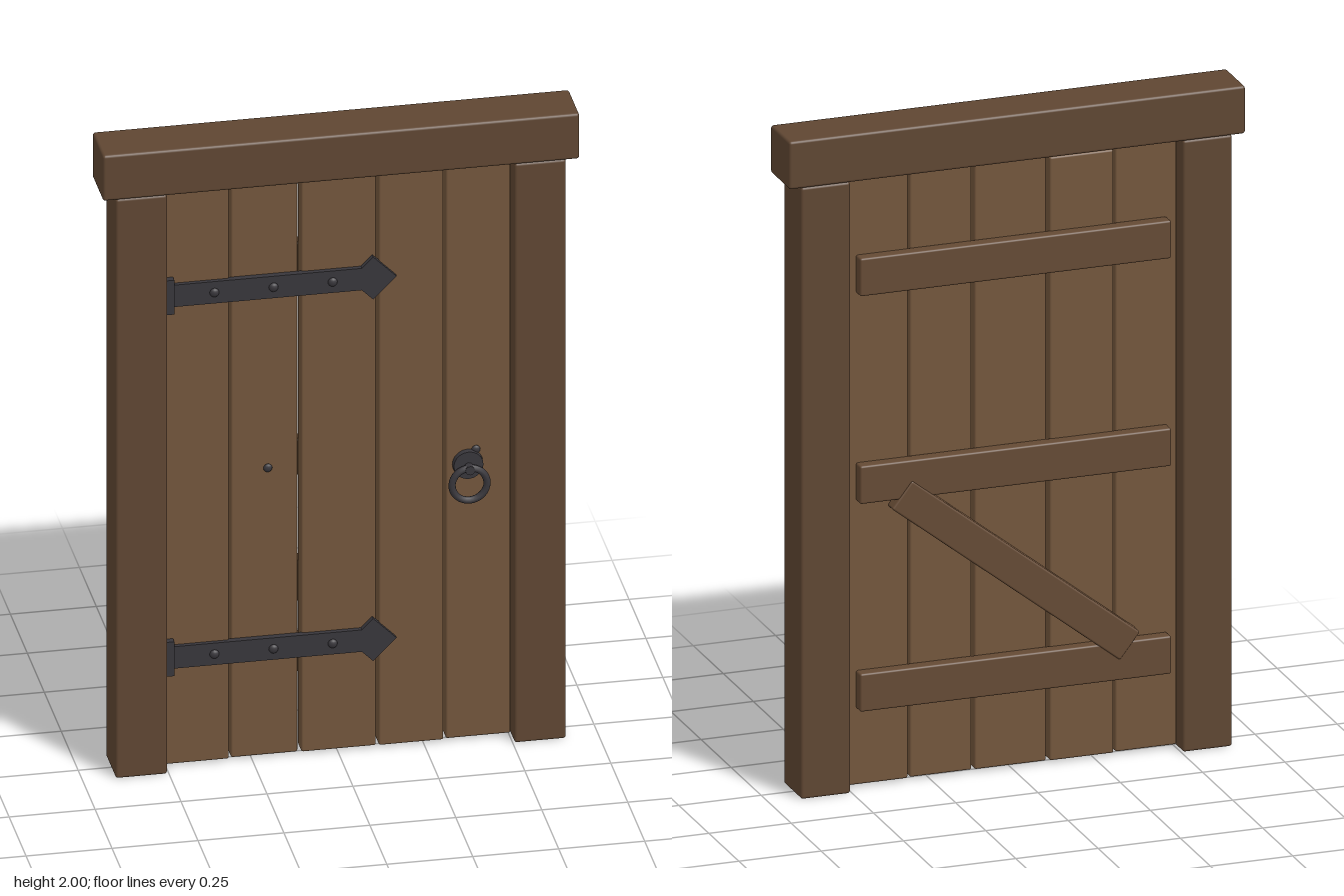
import * as THREE from 'three';
import { RoundedBoxGeometry } from 'three/addons/geometries/RoundedBoxGeometry.js';

const mat = (color) => new THREE.MeshStandardMaterial({ color });

export function createModel() {
  const door = new THREE.Group();
  door.name = 'plankDoor';
  const frameWood = mat(0x5f4632), plankWood = mat(0x73563c), braceWood = mat(0x654a34), iron = mat(0x38363b);

  const add = (name, geometry, material, x, y, z, parent = door) => {
    const mesh = new THREE.Mesh(geometry, material);
    mesh.name = name;
    mesh.position.set(x, y, z);
    parent.add(mesh);
    return mesh;
  };
  const beam = (w, h, d, r = 0.008) => new RoundedBoxGeometry(w, h, d, 2, r);

  // Frame: two posts under a wider lintel
  for (const [name, s] of [['leftPost', 1], ['rightPost', -1]]) {
    add(name, beam(0.15, 1.855, 0.148), frameWood, s * 0.58, 0.9275, 0);
  }
  add('lintel', beam(1.386, 0.145, 0.158), frameWood, 0, 1.9275, 0);

  // Planks: [left edge, right edge, top, depth offset]
  const planks = [
    [-0.503, -0.317, 1.849, 0.002],
    [-0.31, -0.116, 1.838, -0.004],
    [-0.106, 0.111, 1.852, 0],
    [0.119, 0.307, 1.85, 0.002],
    [0.315, 0.503, 1.85, -0.003],
  ];
  for (const [x0, x1, top, dz] of planks) {
    add('plank', beam(x1 - x0, top - 0.008, 0.054, 0.006), plankWood, (x0 + x1) / 2, (top + 0.008) / 2, dz);
  }

  // Battens and diagonal brace on the back
  for (const y of [0.297, 0.927, 1.557]) {
    add('batten', beam(0.945, 0.115, 0.042, 0.006), braceWood, 0, y, -0.045);
  }
  const brace = add('diagonalBrace', beam(0.88, 0.1, 0.045, 0.006), braceWood, 0, 0.612, -0.0475);
  brace.rotation.z = 0.665;

  // Nail heads along the middle batten
  for (const [x, r] of [[-0.203, 0.013], [0, 0.005], [0.402, 0.013]]) {
    const nail = add('nailHead', new THREE.SphereGeometry(r, 12, 8), iron, x, 0.927, 0.0245);
    nail.scale.z = 0.5;
  }

  // Strap hinges with an arrow-shaped end
  const outline = [
    [-0.485, -0.035], [0.067, -0.035], [0.1, -0.068], [0.168, 0],
    [0.1, 0.068], [0.067, 0.035], [-0.485, 0.035],
  ].map(([x, y]) => new THREE.Vector2(x, y));
  const strapGeometry = new THREE.ExtrudeGeometry(new THREE.Shape(outline), { depth: 0.02, bevelEnabled: false });
  for (const [name, y] of [['upperHinge', 1.513], ['lowerHinge', 0.355]]) {
    const hinge = new THREE.Group();
    hinge.name = name;
    hinge.position.set(0, y, 0.022);
    door.add(hinge);
    add('strap', strapGeometry, iron, 0, 0, 0, hinge);
    add('hingePlate', new THREE.BoxGeometry(0.024, 0.11, 0.03), iron, -0.492, 0, 0.013, hinge);
    for (const x of [-0.362, -0.19, -0.018]) {
      const rivet = add('rivet', new THREE.SphereGeometry(0.014, 12, 8), iron, x, 0, 0.02, hinge);
      rivet.scale.z = 0.6;
    }
  }

  // Ring handle on a round plate
  const handle = new THREE.Group();
  handle.name = 'ringHandle';
  handle.position.set(0.378, 0.885, 0.022);
  door.add(handle);
  const disc = add('handlePlate', new THREE.CylinderGeometry(0.043, 0.045, 0.018, 20), iron, 0, 0, 0.009, handle);
  disc.rotation.x = Math.PI / 2;
  const stem = add('handleStem', new THREE.CylinderGeometry(0.014, 0.014, 0.03, 12), iron, 0, -0.005, 0.028, handle);
  stem.rotation.x = Math.PI / 2;
  add('ring', new THREE.TorusGeometry(0.051, 0.0105, 10, 32), iron, 0, -0.053, 0.031, handle);

  return door;
}
